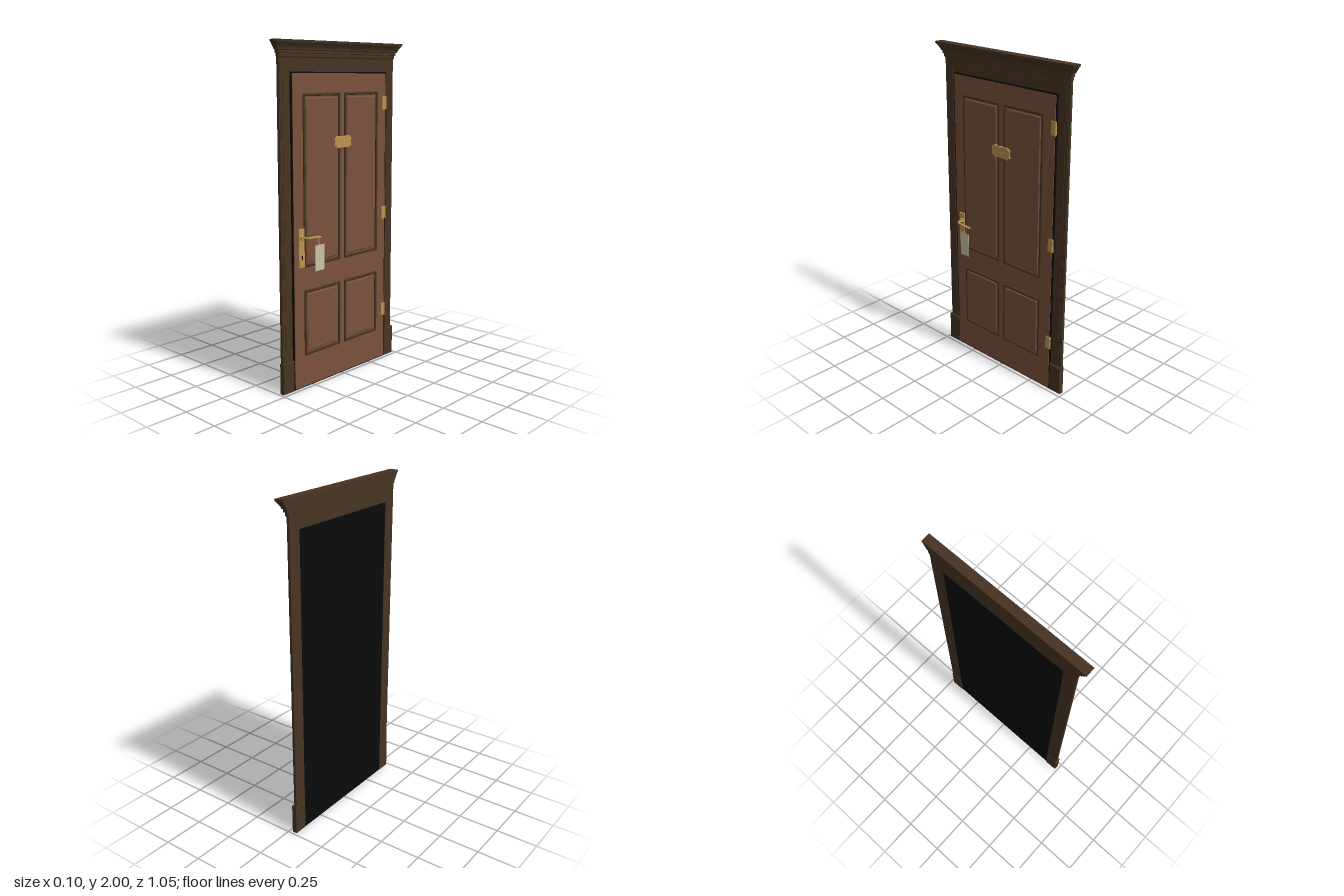
import * as THREE from 'three';

const mat = (name, color, side = THREE.FrontSide) => {
  const m = new THREE.MeshStandardMaterial({ color, side });
  m.name = name;
  return m;
};

export function createModel() {
  const frameWood = mat('dark frame wood', 0x463423);
  const doorWood = mat('door wood', 0x7b523b);
  const brass = mat('brass', 0xba9552);
  const black = mat('black', 0x0a0a0a);
  const card = mat('cream card', 0xc9c2a8);

  // Built facing +z, then turned so that the door faces +x
  const door = new THREE.Group();
  door.name = 'door';
  const add = (name, geo, material, x = 0, y = 0, z = 0) => {
    const m = new THREE.Mesh(geo, material);
    m.name = name;
    m.position.set(x, y, z);
    door.add(m);
    return m;
  };
  // Box given by its limits
  const box = (name, material, x0, x1, y0, y1, z0, z1) =>
    add(name, new THREE.BoxGeometry(x1 - x0, y1 - y0, z1 - z0), material,
      (x0 + x1) / 2, (y0 + y1) / 2, (z0 + z1) / 2);
  const poly = pts => new THREE.Shape(pts.map(p => new THREE.Vector2(...p)));
  const rect = (x0, x1, y0, y1) => poly([[x0, y0], [x1, y0], [x1, y1], [x0, y1]]);
  // Extrusion with a chamfered front edge, kept inside the given outline
  const plate = (shape, depth, bevel = 0) => new THREE.ExtrudeGeometry(shape, {
    depth: depth - bevel, bevelEnabled: bevel > 0, bevelSize: bevel, bevelOffset: -bevel,
    bevelThickness: bevel, bevelSegments: 1, curveSegments: 8,
  });

  // Stepped casing: U-shaped layers of differing width
  const casing = (inner, outer, z0, z1) => {
    const top = 1.43 + outer, head = 1.43 + inner;
    const s = poly([[-outer, 0], [-inner, 0], [-inner, head], [inner, head],
      [inner, 0], [outer, 0], [outer, top], [-outer, top]]);
    add('casing', plate(s, z1 - z0), frameWood, 0, 0, z0);
  };
  casing(0.4, 0.48, -0.05, -0.034);
  casing(0.408, 0.474, -0.034, -0.031);
  casing(0.415, 0.458, -0.031, -0.028);

  // Plinth blocks
  for (const s of [-1, 1]) {
    const shape = rect(-0.0425, 0.0425, 0, 0.183);
    add('plinth', plate(shape, 0.032, 0.004), frameWood, s * 0.4425, 0, -0.05);
  }

  // Cornice: rectangular rings [height, half width, front] joined by mitred faces
  const rings = [[1.905, 0.478, -0.03], [1.912, 0.483, -0.026], [1.928, 0.483, -0.026],
    [1.93, 0.49, -0.021], [1.945, 0.49, -0.021], [1.948, 0.499, -0.016], [1.957, 0.501, -0.015],
    [1.966, 0.508, -0.011], [1.976, 0.514, -0.005], [1.984, 0.518, 0], [1.986, 0.523, 0.003],
    [2, 0.526, 0.005]];
  const pos = [];
  const corners = ([y, w, f]) => [[-w, y, -0.05], [-w, y, f], [w, y, f], [w, y, -0.05]];
  const quad = (a, b, c, d) => pos.push(...a, ...b, ...c, ...a, ...c, ...d);
  for (let i = 0; i < rings.length - 1; i++) {
    const a = corners(rings[i]), b = corners(rings[i + 1]);
    for (let k = 0; k < 4; k++) quad(a[k], a[(k + 1) % 4], b[(k + 1) % 4], b[k]);
  }
  const low = corners(rings[0]), high = corners(rings[rings.length - 1]);
  quad(low[3], low[2], low[1], low[0]);
  quad(high[0], high[1], high[2], high[3]);
  const cornice = new THREE.BufferGeometry();
  cornice.setAttribute('position', new THREE.Float32BufferAttribute(pos, 3));
  cornice.computeVertexNormals();
  add('cornice', cornice, frameWood);

  // Dark core and wooden face of the leaf
  box('core', black, -0.4, 0.4, 0, 1.83, -0.049, -0.023);
  box('leaf', doorWood, -0.393, 0.393, 0.006, 1.822, -0.023, -0.02);

  // Four panels: raised moulding around a bevelled field
  for (const [y0, y1] of [[0.195, 0.588], [0.725, 1.713]]) {
    for (const s of [-1, 1]) {
      const cx = s * 0.167, w = 0.15;
      const ring = rect(-w, w, y0, y1);
      ring.holes.push(rect(-w + 0.016, w - 0.016, y0 + 0.016, y1 - 0.016));
      add('panelMoulding', plate(ring, 0.011, 0.004), frameWood, cx, 0, -0.022);
      const field = rect(-w + 0.024, w - 0.024, y0 + 0.024, y1 - 0.024);
      add('panelField', plate(field, 0.006, 0.005), doorWood, cx, 0, -0.021);
    }
  }

  // Hinges: leaf plate and knuckle
  for (const y of [0.322, 0.957, 1.643]) {
    box('hingePlate', brass, 0.365, 0.402, y - 0.04, y + 0.04, -0.024, -0.017);
    add('hingeKnuckle', new THREE.CylinderGeometry(0.006, 0.006, 0.08, 12), brass, 0.396, y, -0.019);
  }

  // Sign plate with scooped corners
  const sign = new THREE.Shape();
  sign.moveTo(-0.052, -0.037);
  sign.quadraticCurveTo(0, -0.03, 0.052, -0.037);
  sign.quadraticCurveTo(0.056, -0.024, 0.072, -0.024);
  sign.quadraticCurveTo(0.066, 0, 0.072, 0.024);
  sign.quadraticCurveTo(0.056, 0.024, 0.052, 0.037);
  sign.quadraticCurveTo(0, 0.03, -0.052, 0.037);
  sign.quadraticCurveTo(-0.056, 0.024, -0.072, 0.024);
  sign.quadraticCurveTo(-0.066, 0, -0.072, -0.024);
  sign.quadraticCurveTo(-0.056, -0.024, -0.052, -0.037);
  add('signPlate', plate(sign, 0.014, 0.002), brass, 0, 1.427, -0.021);

  // Lock plate, keyhole and lever handle
  add('lockPlate', plate(rect(-0.022, 0.022, 0.728, 0.955), 0.011, 0.002), brass, -0.34, 0, -0.021);
  add('keyhole', new THREE.CylinderGeometry(0.006, 0.006, 0.002, 12).rotateX(Math.PI / 2), black,
    -0.34, 0.792, -0.0095);
  box('keyholeSlot', black, -0.344, -0.336, 0.775, 0.792, -0.0105, -0.0085);
  add('handleRose', new THREE.CylinderGeometry(0.014, 0.017, 0.01, 20).rotateX(Math.PI / 2), brass,
    -0.34, 0.905, -0.005);
  const path = new THREE.CatmullRomCurve3([[-0.336, 0.905, -0.01], [-0.336, 0.905, 0.02],
    [-0.325, 0.905, 0.033], [-0.3, 0.906, 0.039], [-0.265, 0.903, 0.038], [-0.232, 0.897, 0.03]]
    .map(p => new THREE.Vector3(...p)));
  add('lever', new THREE.TubeGeometry(path, 32, 0.007, 10), brass);
  add('leverTip', new THREE.SphereGeometry(0.007, 10, 8), brass, -0.232, 0.897, 0.03);

  // Hanging card on a cord looped over the lever
  box('hangingCard', card, -0.292, -0.22, 0.71, 0.86, 0.046, 0.048);
  const cord = new THREE.CatmullRomCurve3([[-0.256, 0.855, 0.0475], [-0.257, 0.9, 0.047],
    [-0.257, 0.914, 0.037], [-0.257, 0.9, 0.027], [-0.256, 0.855, 0.0455]]
    .map(p => new THREE.Vector3(...p)));
  add('cord', new THREE.TubeGeometry(cord, 24, 0.0009, 5), card);

  door.rotation.y = Math.PI / 2;
  const model = new THREE.Group();
  model.name = 'panelledDoor';
  model.add(door);
  return model;
}
